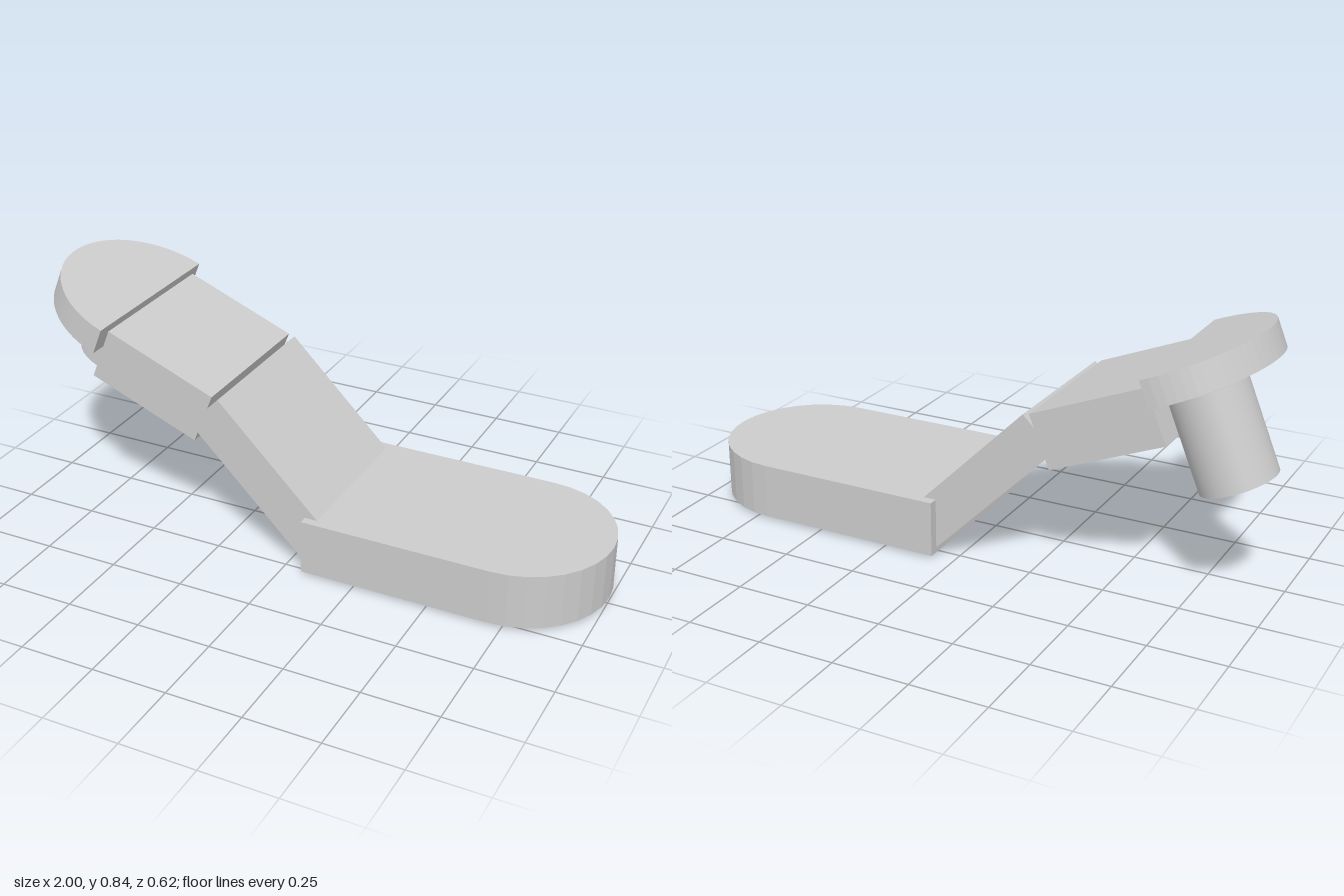
import * as THREE from 'three';

export function createModel() {
  const model = new THREE.Group();
  const material = new THREE.MeshStandardMaterial({ color: 0xcccccc });
  const add = (name, geometry, parent = model) => {
    const mesh = new THREE.Mesh(geometry, material);
    mesh.name = name;
    parent.add(mesh);
    return mesh;
  };

  // Flat slab lying in XZ, from y = 0 up to height, with one half-round end.
  // Straight edge at x = 0, rounded towards +x.
  const roundedSlab = (straight, radius, height, curveSegments) => {
    const shape = new THREE.Shape();
    shape.moveTo(0, -radius);
    if (straight > 0) shape.lineTo(straight, -radius);
    shape.absarc(straight, 0, radius, -Math.PI / 2, Math.PI / 2, false);
    if (straight > 0) shape.lineTo(0, radius);
    shape.closePath();
    const geometry = new THREE.ExtrudeGeometry(shape, { depth: height, bevelEnabled: false, curveSegments });
    return geometry.rotateX(-Math.PI / 2);
  };

  // Low base with a round front end
  add('base', roundedSlab(0.635, 0.295, 0.185, 8)).position.set(0.07, 0.011, -0.016);

  // Steep lower arm
  const lowerArm = add('lowerArm', new THREE.BoxGeometry(0.62, 0.149, 0.53));
  lowerArm.position.set(-0.07, 0.273, -0.015);
  lowerArm.rotation.z = -Math.PI / 4;

  // Tilted head: origin at the top edge of the upper arm's far end, local -x outward
  const head = new THREE.Group();
  head.name = 'head';
  head.position.set(-0.631, 0.701, 0);
  head.rotation.z = THREE.MathUtils.degToRad(-22);
  model.add(head);

  add('upperArm', new THREE.BoxGeometry(0.403, 0.184, 0.53), head).position.set(0.2015, -0.092, -0.015);

  // Half-disc cap abutting the arm
  const cap = add('cap', roundedSlab(0, 0.308, 0.092, 16), head);
  cap.rotation.y = Math.PI;
  cap.position.set(0, -0.061, 0);

  // Offset peg hanging under the cap
  add('peg', new THREE.CylinderGeometry(0.124, 0.124, 0.306, 32), head).position.set(-0.124, -0.214, -0.152);

  return model;
}
